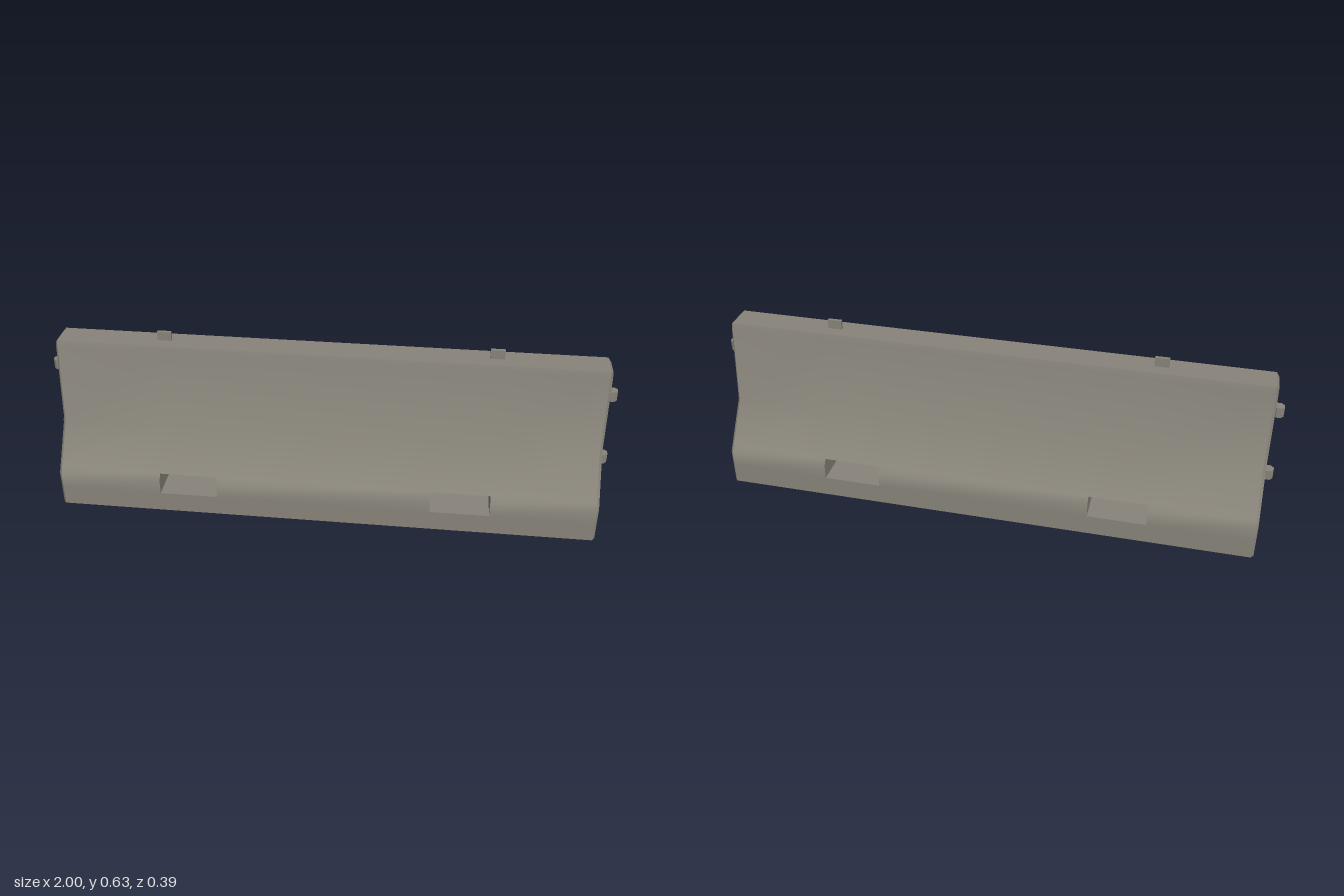
import * as THREE from 'three';
import { toCreasedNormals } from 'three/addons/utils/BufferGeometryUtils.js';

// Half profile of the barrier, bottom to top: [half width, height]
const PROFILE = [[0.197, 0], [0.197, 0.075], [0.197, 0.127], [0.181, 0.15], [0.083, 0.293], [0.055, 0.582], [0.05, 0.602]];
// The chamfered ends use a slightly smaller profile
const END_PROFILE = PROFILE.map(([w, y], i) => [w - 0.0125, i < 5 ? y : y - 0.011]);
// Stations along the length; the slots lie between 2-3 and 4-5
const STATIONS = [-0.969, -0.959, -0.593, -0.384, 0.384, 0.593, 0.959, 0.969];
const SLOTS = [2, 4];
const SLOT_ROWS = [1, 3];

function bodyGeometry() {
  const positions = [];
  const quad = (a, b, c, d) => positions.push(...a, ...b, ...c, ...a, ...c, ...d);
  const last = STATIONS.length - 1;
  const rows = PROFILE.length;

  // Closed ring at each station: up the front, down the back
  const rings = STATIONS.map((x, i) => {
    const p = i === 0 || i === last ? END_PROFILE : PROFILE;
    return [...p.map(([w, y]) => [x, y, w]), ...[...p].reverse().map(([w, y]) => [x, y, -w])];
  });
  const n = rows * 2;

  // Outer skin, left open where the slots pass through
  for (let i = 0; i < last; i++) {
    for (let j = 0; j < n; j++) {
      const row = j < rows ? j : n - 2 - j;
      if (SLOTS.includes(i) && row >= SLOT_ROWS[0] && row < SLOT_ROWS[1]) continue;
      const k = (j + 1) % n;
      quad(rings[i][j], rings[i + 1][j], rings[i + 1][k], rings[i][k]);
    }
  }

  // Crosswise wall facing +x or -x, between two rows
  const wall = (ring, from, to, facing) => {
    for (let j = from; j < to; j++) {
      const c = [ring[j], ring[n - 1 - j], ring[n - 2 - j], ring[j + 1]];
      quad(...(facing > 0 ? c : c.reverse()));
    }
  };
  wall(rings[0], 0, rows - 1, -1);
  wall(rings[last], 0, rows - 1, 1);

  // Slot tunnels: side walls, floor and ceiling
  for (const s of SLOTS) {
    const [a, b] = [rings[s], rings[s + 1]];
    const [lo, hi] = SLOT_ROWS;
    wall(a, lo, hi, 1);
    wall(b, lo, hi, -1);
    quad(a[lo], b[lo], b[n - 1 - lo], a[n - 1 - lo]);
    quad(a[n - 1 - hi], b[n - 1 - hi], b[hi], a[hi]);
  }

  const geometry = new THREE.BufferGeometry();
  geometry.setAttribute('position', new THREE.Float32BufferAttribute(positions, 3));
  return toCreasedNormals(geometry, 0.63);
}

export function createModel() {
  const concrete = new THREE.MeshStandardMaterial({ color: 0x88847a });
  concrete.name = 'concrete';
  const model = new THREE.Group();
  model.name = 'roadBarrier';

  const add = (name, geometry, x = 0, y = 0) => {
    const mesh = new THREE.Mesh(geometry, concrete);
    mesh.name = name;
    mesh.position.set(x, y, 0);
    model.add(mesh);
  };

  add('barrierBody', bodyGeometry());

  // Eight-sided coupling pegs on the ends and lifting tabs on top
  const peg = toCreasedNormals(new THREE.CylinderGeometry(0.0195, 0.0195, 0.037, 8).rotateY(Math.PI / 8), 0.3);
  const tab = new THREE.BoxGeometry(0.05, 0.045, 0.012);
  for (const side of [-1, 1]) {
    const label = side > 0 ? 'left' : 'right';
    add(label + 'UpperPeg', peg, side * 0.982, 0.485);
    add(label + 'LowerPeg', peg, side * 0.982, 0.228);
    add(label + 'LiftingTab', tab, side * 0.582, 0.6125);
  }
  return model;
}
